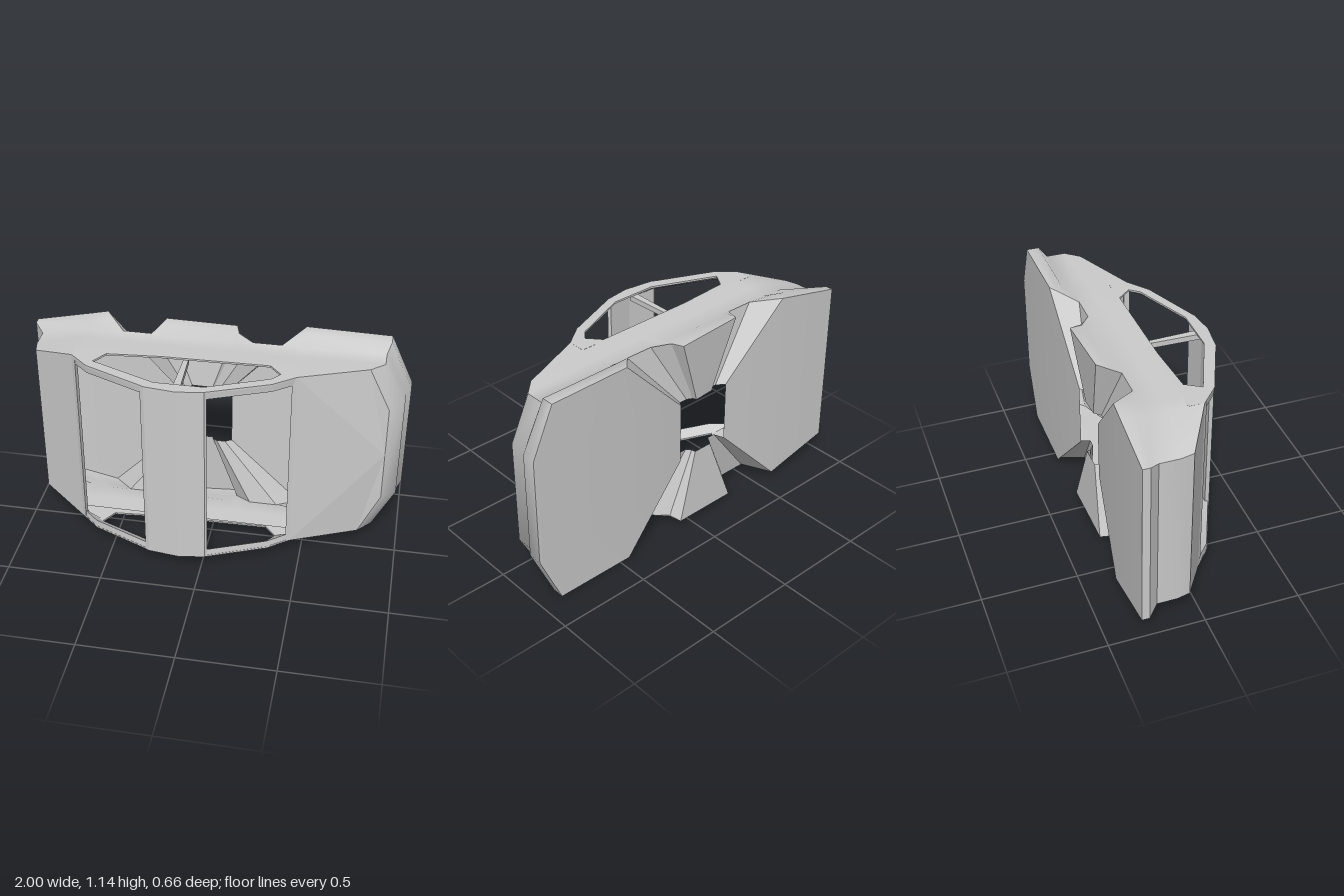
import * as THREE from 'three';
import { toCreasedNormals } from 'three/addons/utils/BufferGeometryUtils.js';

const MID = 0.5765; // mirror plane height: the shell lies on its side
const TOP = 1.09, WIDTH = 2 * (TOP - MID);
const mat = new THREE.MeshStandardMaterial({ color: 0xcccccc, side: THREE.DoubleSide });
// Mirror to the lower side, where the front flare reaches down to the ground
const flip = ([x, y, z]) => [x, 2 * MID - y - (x === 0.88 ? 0.023 : 0), z];

// Surface through rows of points; all rows have the same length.
function loft(rows, closed = false, crease = 1) {
  const n = rows[0].length, idx = [];
  for (let r = 0; r < rows.length - 1; r++) {
    for (let i = 0; i < (closed ? n : n - 1); i++) {
      const a = r * n + i, b = r * n + (i + 1) % n, c = a + n, d = b + n;
      idx.push(a, b, d, a, d, c);
    }
  }
  const g = new THREE.BufferGeometry();
  g.setAttribute('position', new THREE.Float32BufferAttribute(rows.flat(2), 3));
  g.setIndex(idx);
  return toCreasedNormals(g, crease);
}

// Profile in the x-z plane, given thickness along y and ending at yTop.
function slab(points, yTop, depth, hole) {
  const s = new THREE.Shape(points.map(p => new THREE.Vector2(...p)));
  if (hole) s.holes.push(new THREE.Path(hole.map(p => new THREE.Vector2(...p))));
  const g = new THREE.ExtrudeGeometry(s, { depth, bevelEnabled: false });
  return g.rotateX(Math.PI / 2).translate(0, yTop, 0);
}

export function createModel() {
  const model = new THREE.Group();
  const add = (name, g) => {
    const m = new THREE.Mesh(g, mat);
    m.name = name;
    model.add(m);
  };

  // Side stations, each from the floor edge up to the window line
  const station = (x, y, zb, zTop) => [
    [x, y, zb], [x, y > 1.1 ? y - 0.005 : y, Math.max(zb, -0.26)],
    [x, 1.085, -0.19], [x, 1.088, -0.1], [x, TOP, zTop],
  ];
  const tail = [[-1, 1.04, -0.33], [-1, 1.04, -0.29], [-0.95, 1.01, -0.235], [-0.95, 1.01, -0.13], [-0.935, 1.01, -0.06]];
  const corner = [[0.88, 1.13, -0.325], [0.88, 1.13, -0.26], [0.86, 1.08, -0.22], [0.86, 1.08, -0.12], [0.79, 1.085, -0.05]];
  const nose = [[1, 0.87, -0.325], [1, 0.87, -0.25], [0.975, 0.86, -0.22], [0.975, 0.86, -0.13], [0.9, 0.85, -0.058]];
  const side = [
    tail,
    station(-0.7, 1.105, -0.33, 0.08),
    station(-0.61, 1.125, -0.33, 0),
    station(-0.5, 1.09, -0.2, 0),
    station(-0.35, 1.09, -0.2, 0),
    station(-0.29, 1.125, -0.31, 0),
    station(0.08, 1.11, -0.325, 0),
    station(0.1, 1.105, -0.26, 0),
    station(0.18, 1.09, -0.2, 0),
    station(0.33, 1.09, -0.2, 0),
    station(0.44, 1.14, -0.325, 0.095),
    corner,
  ];
  add('leftSidePanel', loft(side));
  add('rightSidePanel', loft(side.map(r => r.map(flip))));

  // Front wrap and tail wrap across the width
  add('noseWrap', loft([corner, nose, nose.map(flip), corner.map(flip)]));
  add('tailPanel', loft([tail, tail.map(flip)], false, 0.3));

  // Bonnet as a fan from its front middle
  const hoodEdge = [[0.9, 0.85, -0.058], [0.79, 1.085, -0.05], [0.44, TOP, 0.095]];
  const rim = [...hoodEdge, ...hoodEdge.map(flip).reverse()];
  add('bonnet', loft([rim, rim.map(() => [0.9, MID, -0.055])], false, 0.05));

  // Boot lid
  const bootEdge = [[-0.935, 1.01, -0.06], [-0.7, TOP, 0.08]];
  add('bootLid', loft([bootEdge, bootEdge.map(flip)], false, 0.1));

  // Floor: flat end plates, then the edge drawn in towards a central opening
  const half = [...side.map(r => r[0]), nose[0]];
  const outer = [...half, ...half.map(flip).reverse()];
  const plates = outer.map(([x, y, z]) => [THREE.MathUtils.clamp(x, -0.61, 0.44), y, z]);
  const inner = outer.map(([x, y, z]) => [
    THREE.MathUtils.clamp(-0.1 + 0.3 * (x + 0.1), -0.25, 0.06),
    MID + 0.3 * (y - MID),
    -0.255 + 0.33 * (z + 0.21),
  ]);
  add('floor', loft([outer, plates, inner], true, 0.15));

  // Thin window surrounds, three-sided pillars behind them, and a slim centre post
  const arc = [[-0.7, 0.08], [-0.6, 0.17], [-0.28, 0.308], [-0.12, 0.328],
    [0.02, 0.308], [0.33, 0.18], [0.44, 0.095]];
  const frame = [[-0.7, 0], ...arc, [0.44, 0]];
  const upper = [[-0.58, 0.12], [-0.24, 0.262], [-0.12, 0.262], [0.01, 0.262], [0.32, 0.13], [0.36, 0.08]];
  const opening = [[-0.53, 0.04], ...upper, [0.3, 0.01], [-0.25, 0.018]];
  const post = [[-0.14, 0], [-0.145, 0.28], [-0.105, 0.28], [-0.115, 0]];
  const pillar = [
    arc.map(([x, z]) => [x, TOP, z]),
    arc.map(([x, z]) => [x, 1.045, z - 0.005]),
    [[-0.58, 0.11], ...upper].map(([x, z]) => [x, 1.08, z]),
  ];
  const bottom = TOP - WIDTH;
  add('leftWindowFrame', slab(frame, TOP, 0.01, opening));
  add('rightWindowFrame', slab(frame, bottom + 0.01, 0.01, opening));
  add('leftPillars', loft(pillar, false, 0.4));
  add('rightPillars', loft(pillar.map(r => r.map(flip)), false, 0.4));
  add('leftCentrePost', slab(post, TOP - 0.01, 0.03));
  add('rightCentrePost', slab(post, bottom + 0.04, 0.03));

  // Roof and the bars at the foot of the front and rear windows
  add('roof', slab([[-0.3, 0.3], [-0.28, 0.31], [-0.12, 0.33], [0.02, 0.31], [0.03, 0.3],
    [0.02, 0.285], [-0.12, 0.3], [-0.28, 0.285]], TOP, WIDTH));
  add('windscreenBar', slab([[0.42, 0.105], [0.44, 0.095], [0.44, 0.075], [0.42, 0.075]], TOP, WIDTH));
  add('rearWindowBar', slab([[-0.7, 0.08], [-0.68, 0.098], [-0.675, 0.07], [-0.7, 0.06]], TOP, WIDTH));

  return model;
}
